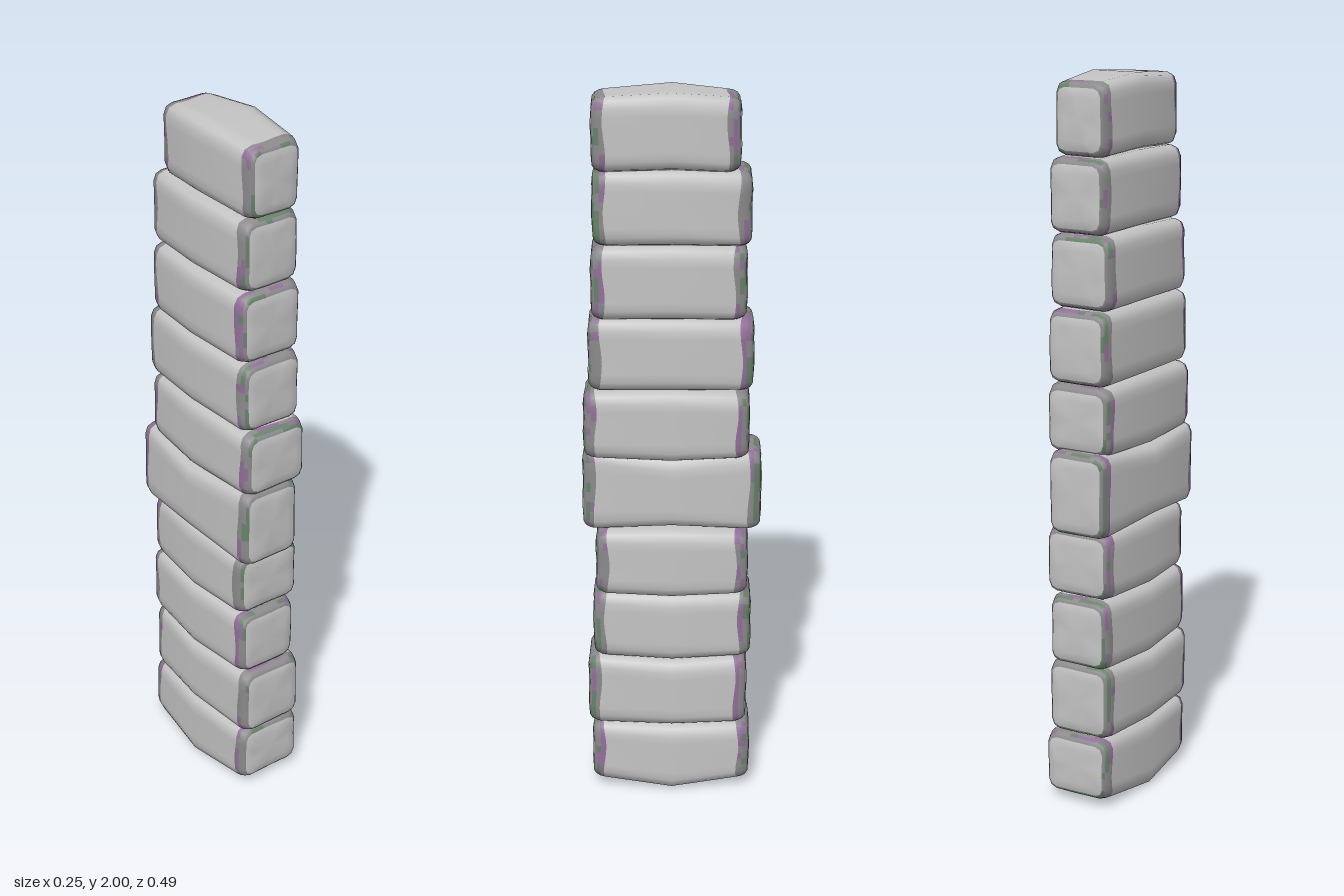
import * as THREE from 'three';

// Stones from bottom to top, each 0.2 tall in the middle:
// x range, y range at the ends, front z, back z
const STONES = [
  [-0.11, 0.115, 0.022, 0.2, 0.225, -0.22],
  [-0.11, 0.11, 0.2, 0.407, 0.235, -0.21],
  [-0.11, 0.10, 0.405, 0.6, 0.22, -0.22],
  [-0.11, 0.115, 0.602, 0.79, 0.21, -0.21],
  [-0.12, 0.085, 0.785, 1.016, 0.245, -0.245],
  [-0.11, 0.11, 1.003, 1.19, 0.24, -0.21],
  [-0.11, 0.10, 1.194, 1.394, 0.225, -0.22],
  [-0.11, 0.105, 1.394, 1.592, 0.215, -0.2],
  [-0.10, 0.10, 1.594, 1.793, 0.21, -0.21],
  [-0.085, 0.10, 1.791, 1.987, 0.21, -0.18],
];
const SIDE = 5; // points along each straight edge of a cross-section
const N = 4 * (SIDE + 3);

let seed = 7;
function rand() {
  seed = (seed * 16807) % 2147483647;
  return seed / 2147483647;
}

// Rounded rectangle, counter-clockwise seen from the front
function section(hw, hh, r) {
  const points = [];
  for (let k = 0; k < 4; k++) {
    const sx = k === 0 || k === 3 ? 1 : -1;
    const sy = k < 2 ? 1 : -1;
    for (let j = 0; j < 3; j++) {
      const a = (k + j / 2) * Math.PI / 2;
      points.push([sx * (hw - r) + r * Math.cos(a), sy * (hh - r) + r * Math.sin(a)]);
    }
    for (let j = 1; j <= SIDE; j++) {
      const t = 1 - 2 * j / (SIDE + 1);
      points.push([[t * (hw - r), hh], [-hw, t * (hh - r)],
        [-t * (hw - r), -hh], [hw, -t * (hh - r)]][k]);
    }
  }
  return points;
}

// End rings from the cap outwards: depth, x inset, y inset, corner radius
const END = [
  [0, 0.05, 0.04, 0.02],
  [0.003, 0.027, 0.016, 0.022],
  [0.010, 0.020, 0.007, 0.025],
  [0.022, 0.015, 0.002, 0.027],
  [0.035, 0.012, 0, 0.028],
];
// Rim colours (1 grey, 2 purple, 3 green) of each band from the cap outwards
const RIM = [[1, 1, 3, 1], [1, 3, 2, 1], [2, 1, 2, 1]];

// Loft along z: worn rims at both ends, swollen middle
function stoneGeometry([x0, x1, y0, y1, zf, zb], index) {
  const cx = (x0 + x1) / 2, hw = (x1 - x0) / 2;
  const endY = (y0 + y1) / 2, midY = 0.2 * index + 0.1;
  const rings = [
    ...END.map(([d, ix, iy, r]) => [zb + d, endY, hw - ix, (y1 - y0) / 2 - iy, r]),
    [0, midY, hw + 0.005, 0.1, 0.03],
    ...END.map(([d, ix, iy, r]) => [zf - d, endY, hw - ix, (y1 - y0) / 2 - iy, r]).reverse(),
  ];
  const positions = [], faces = [[], [], [], []];
  const phase = rand() * 6;
  rings.forEach(([z, cy, w, h, r], i) => {
    // The inner border of each rim wavers
    const waver = i === 4 || i === 6 ? 0.004 : 0.001;
    section(w, h, r).forEach(([x, y], j) => {
      positions.push(cx + x, cy + y, z + waver * Math.sin(j * Math.PI / 4 + phase));
    });
  });
  for (let i = 0; i < rings.length - 1; i++) {
    const palette = RIM[Math.min(i, rings.length - 2 - i) - 1];
    let slot = 0;
    for (let j = 0; j < N; j++) {
      const a = i * N + j, b = i * N + (j + 1) % N;
      // Rim colours run in short streaks
      if (palette && (j === 0 || rand() < 0.5)) slot = palette[Math.floor(rand() * 4)];
      faces[slot].push(a, b, b + N, a, b + N, a + N);
    }
  }
  // End faces
  const back = positions.length / 3, front = back + 1, last = (rings.length - 1) * N;
  positions.push(cx, endY, zb, cx, endY, zf);
  for (let j = 0; j < N; j++) {
    const k = (j + 1) % N;
    faces[0].push(back, k, j, front, last + j, last + k);
  }
  const geometry = new THREE.BufferGeometry();
  geometry.setAttribute('position', new THREE.Float32BufferAttribute(positions, 3));
  geometry.setIndex(faces.flat());
  let start = 0;
  faces.forEach((list, slot) => {
    geometry.addGroup(start, list.length, slot);
    start += list.length;
  });
  geometry.computeVertexNormals();
  return geometry;
}

export function createModel() {
  seed = 7;
  const material = (name, color) => {
    const m = new THREE.MeshStandardMaterial({ color });
    m.name = name;
    return m;
  };
  const materials = [
    material('stone grey', 0xc4c4c4),
    material('worn edge grey', 0x8c8a8c),
    material('worn edge purple', 0x92709a),
    material('worn edge green', 0x68846a),
  ];
  const group = new THREE.Group();
  group.name = 'stonePillar';
  STONES.forEach((stone, i) => {
    const mesh = new THREE.Mesh(stoneGeometry(stone, i), materials);
    mesh.name = `stone${i + 1}`;
    group.add(mesh);
  });
  return group;
}
